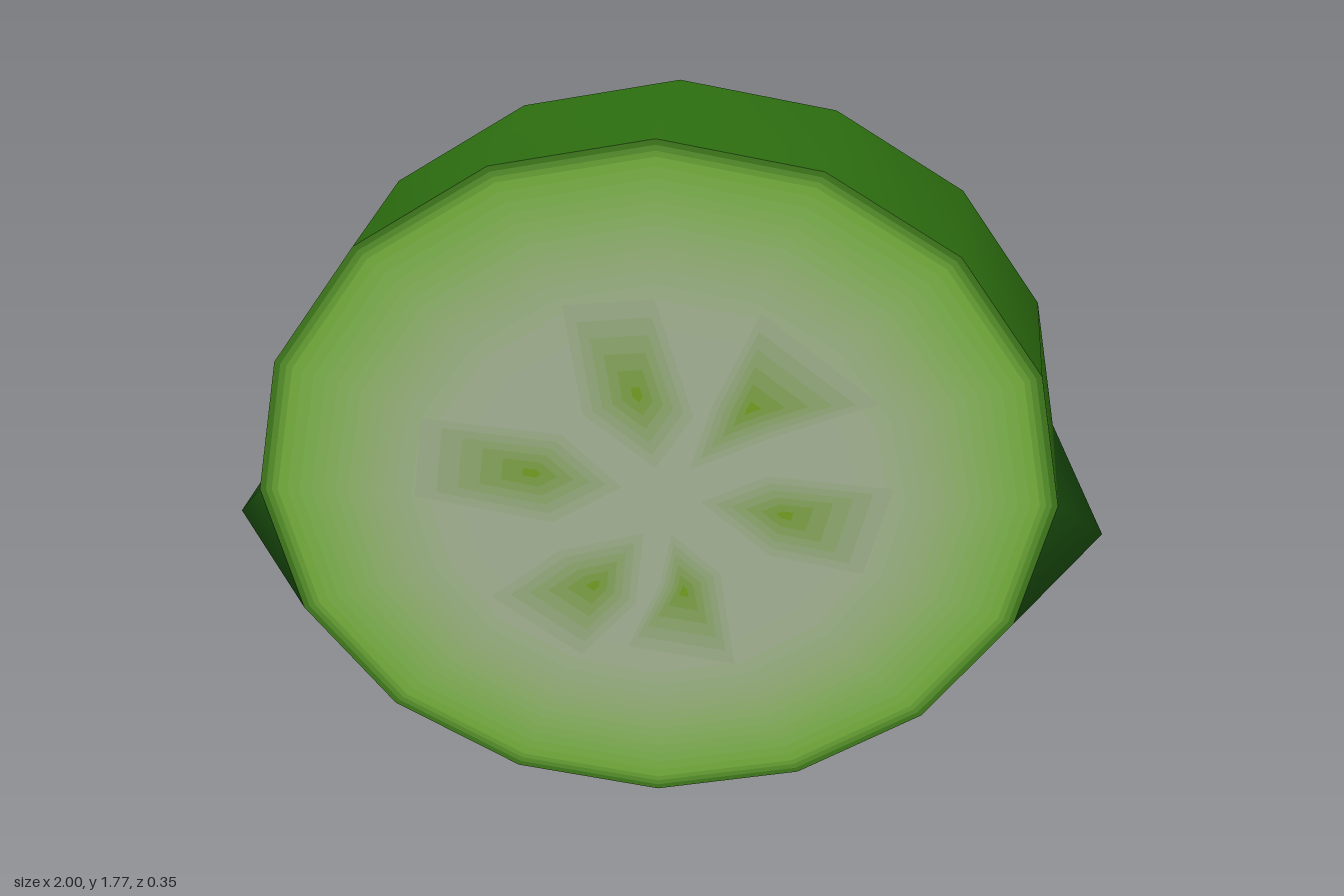
import * as THREE from 'three';

const SIDES = 16;
const DEPTH = 0.172;
// The two cut faces are slightly offset and differ a little in size.
const FACES = [
  { name: 'front', dir: 1, cx: -0.02, cy: 0.887, rx: 0.88, ry: 0.883 },
  { name: 'back', dir: -1, cx: 0.018, cy: 0.865, rx: 0.868, ry: 0.865 },
];

// Flesh colour by distance from the centre (1 = rind).
const FLESH = [
  [0, 0xa4b296], [0.55, 0xa3b392], [0.7, 0x98b47a],
  [0.85, 0x84b556], [0.95, 0x74b03c], [1, 0x2f6c14],
].map(([r, c]) => [r, new THREE.Color(c)]);

// Seed pockets: outline around a dark core, shared by both faces.
const SEEDS = [
  { core: [-0.06, 1.16], outline: [[-0.23, 1.4], [-0.02, 1.42], [0.07, 1.1], [-0.02, 0.95], [-0.19, 1.1]] },
  { core: [0.18, 1.13], outline: [[0.2, 1.39], [0.48, 1.15], [0.24, 1.05], [0.04, 0.95], [0.09, 1.13]] },
  { core: [0.26, 0.85], outline: [[0.52, 0.93], [0.46, 0.67], [0.23, 0.72], [0.06, 0.88], [0.22, 0.96]] },
  { core: [0.04, 0.63], outline: [[0.17, 0.39], [-0.1, 0.44], [-0.02, 0.64], [0.01, 0.8], [0.13, 0.68]] },
  { core: [-0.16, 0.64], outline: [[-0.42, 0.59], [-0.2, 0.41], [-0.06, 0.58], [-0.04, 0.8], [-0.25, 0.74]] },
  { core: [-0.29, 0.95], outline: [[-0.55, 1.1], [-0.58, 0.87], [-0.25, 0.8], [-0.08, 0.91], [-0.22, 1.06]] },
];

function fleshColor(r) {
  let i = 1;
  while (i < FLESH.length - 1 && FLESH[i][0] < r) i++;
  const [r0, c0] = FLESH[i - 1], [r1, c1] = FLESH[i];
  return c0.clone().lerp(c1, (r - r0) / (r1 - r0));
}

// Sixteen-sided outline of a cut face, shrunk by a factor.
function outline(face, scale = 1) {
  return Array.from({ length: SIDES }, (_, i) => {
    const a = (i / SIDES) * Math.PI * 2;
    return [face.cx + Math.cos(a) * face.rx * scale, face.cy + Math.sin(a) * face.ry * scale];
  });
}

// Flat patch on a cut face, turned to look outwards.
function patch(face, points, hole, color, lift, name) {
  const flat = (pts) => pts.map(([x, y]) => new THREE.Vector2(x * face.dir, y));
  const shape = new THREE.Shape(flat(points));
  if (hole) shape.holes.push(new THREE.Path(flat(hole)));
  const mesh = new THREE.Mesh(new THREE.ShapeGeometry(shape), new THREE.MeshStandardMaterial({ color }));
  mesh.position.z = face.dir * (DEPTH + lift);
  if (face.dir < 0) mesh.rotation.y = Math.PI;
  mesh.name = name;
  return mesh;
}

// Cut face: concentric flesh rings and softly layered seed pockets.
function cutFace(face) {
  const group = new THREE.Group();
  group.name = face.name + 'Face';
  const radii = [1, 0.985, 0.97, 0.955, 0.93, 0.9, 0.87, 0.84, 0.81, 0.78, 0.75, 0.72, 0.69, 0.66, 0.62, 0.58, 0.5];
  radii.forEach((r, i) => {
    const inner = radii[i + 1];
    const color = fleshColor(inner ? (r + inner) / 2 : 0);
    group.add(patch(face, outline(face, r), inner && outline(face, inner), color, 0, inner ? 'fleshRing' : 'fleshCore'));
  });

  const pale = new THREE.Color(0xa4b296), dark = new THREE.Color(0x749f22);
  const layers = 6;
  SEEDS.forEach(({ core, outline: pts }) => {
    const seed = new THREE.Group();
    seed.name = 'seedPocket';
    for (let k = 1; k <= layers; k++) {
      const s = 1 - (k - 0.5) / layers;
      const ring = pts.map(([x, y]) => [core[0] + (x - core[0]) * s, core[1] + (y - core[1]) * s]);
      seed.add(patch(face, ring, null, pale.clone().lerp(dark, k / layers), k * 0.0008, 'seedLayer'));
    }
    group.add(seed);
  });
  return group;
}

// Rind strip with a pointed bump on each side, sharing smooth normals.
function rind() {
  const pos = [], strip = [], bumps = [];
  const front = outline(FACES[0]), back = outline(FACES[1]);
  for (let i = 0; i < SIDES; i++) pos.push(...front[i], DEPTH, ...back[i], -DEPTH);
  const apexes = { 8: [-1, 0.68, -0.02], 15: [1, 0.68, 0] };
  for (let i = 0; i < SIDES; i++) {
    const j = (i + 1) % SIDES;
    const quad = [i * 2, i * 2 + 1, j * 2 + 1, j * 2];
    if (apexes[i]) {
      const tip = pos.length / 3;
      pos.push(...apexes[i]);
      quad.forEach((v, k) => bumps.push(v, quad[(k + 1) % 4], tip));
    } else {
      strip.push(quad[0], quad[1], quad[2], quad[0], quad[2], quad[3]);
    }
  }
  const whole = new THREE.BufferGeometry();
  whole.setAttribute('position', new THREE.Float32BufferAttribute(pos, 3));
  whole.setIndex([...strip, ...bumps]);
  whole.computeVertexNormals();

  const part = (index, color, name) => {
    const mesh = new THREE.Mesh(whole.clone().setIndex(index).toNonIndexed(), new THREE.MeshStandardMaterial({ color }));
    mesh.name = name;
    return mesh;
  };
  return [part(strip, 0x2f7311, 'rind'), part(bumps, 0x1f5a12, 'sideBumps')];
}

export function createModel() {
  const model = new THREE.Group();
  model.name = 'cucumberSlice';
  model.add(...rind(), ...FACES.map(cutFace));
  return model;
}
